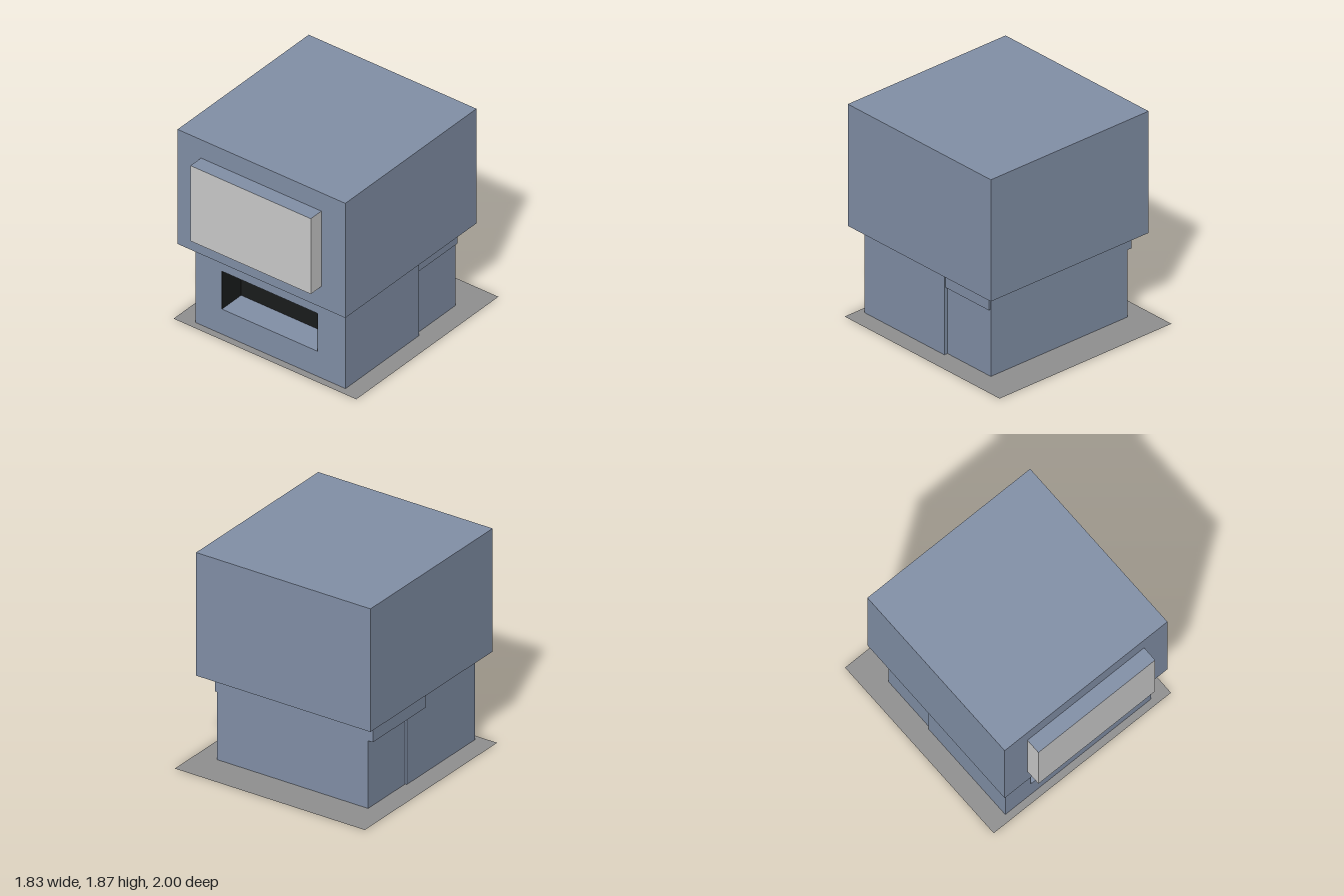
import * as THREE from 'three';

const mat = (color, extra = {}) => new THREE.MeshStandardMaterial({ color, ...extra });

export function createModel() {
  const model = new THREE.Group();
  const blue = mat(0x8290a7);
  const grey = mat(0xcccccc);
  const dark = mat(0x1a1c1c);

  const add = (name, geometry, material) => {
    const mesh = new THREE.Mesh(geometry, material);
    mesh.name = name;
    model.add(mesh);
    return mesh;
  };

  // Box given by its lower and upper limits on each axis
  const box = (name, [x0, x1], [y0, y1], [z0, z1], material = blue) => {
    const mesh = add(name, new THREE.BoxGeometry(x1 - x0, y1 - y0, z1 - z0), material);
    mesh.position.set((x0 + x1) / 2, (y0 + y1) / 2, (z0 + z1) / 2);
    return mesh;
  };

  // Thin ground sheet
  const ground = add('groundSheet', new THREE.PlaneGeometry(1.83, 1.82),
    mat(0x909090, { side: THREE.DoubleSide }));
  ground.rotation.x = -Math.PI / 2;
  ground.position.z = -0.09;

  // Large upper block with a raised front panel; the panel's top and bottom match the block
  box('upperBlock', [-0.84, 0.84], [0.77, 1.865], [-0.815, 0.865]);
  box('frontPanel', [-0.605, 0.6], [0.97, 1.69], [0.865, 1],
    [grey, grey, blue, blue, grey, grey]);

  // Lower block: a frame around the front opening, then the solid middle
  const frontZ = 0.76, recessZ = 0.51, low = 0.004;
  const face = new THREE.Shape([[-0.745, low], [0.76, low], [0.76, 0.77], [-0.745, 0.77]]
    .map(p => new THREE.Vector2(...p)));
  face.holes.push(new THREE.Path([[-0.483, 0.243], [-0.483, 0.605], [0.483, 0.605], [0.483, 0.243]]
    .map(p => new THREE.Vector2(...p))));
  const frame = add('lowerFrontFrame',
    new THREE.ExtrudeGeometry(face, { depth: frontZ - recessZ, bevelEnabled: false }), blue);
  frame.position.z = recessZ;
  box('lowerMiddle', [-0.745, 0.76], [low, 0.77], [-0.18, recessZ]);

  // Dark back and side walls inside the opening
  box('recessBack', [-0.483, 0.483], [0.243, 0.605], [recessZ - 0.01, recessZ + 0.004], dark);
  for (const side of [-1, 1]) {
    const wall = box('recessSide', [-0.003, 0.003], [0.243, 0.605], [recessZ, frontZ - 0.001], dark);
    wall.position.x = side * 0.481;
  }

  // Slightly narrower rear section and the ledges above its sides
  box('lowerRear', [-0.73, 0.727], [low, 0.77], [-0.69, -0.18]);
  box('rightLedge', [-0.775, -0.7], [0.605, 0.77], [-0.688, 0.04]);
  box('leftLedge', [0.7, 0.747], [0.605, 0.77], [-0.688, -0.18]);

  return model;
}
